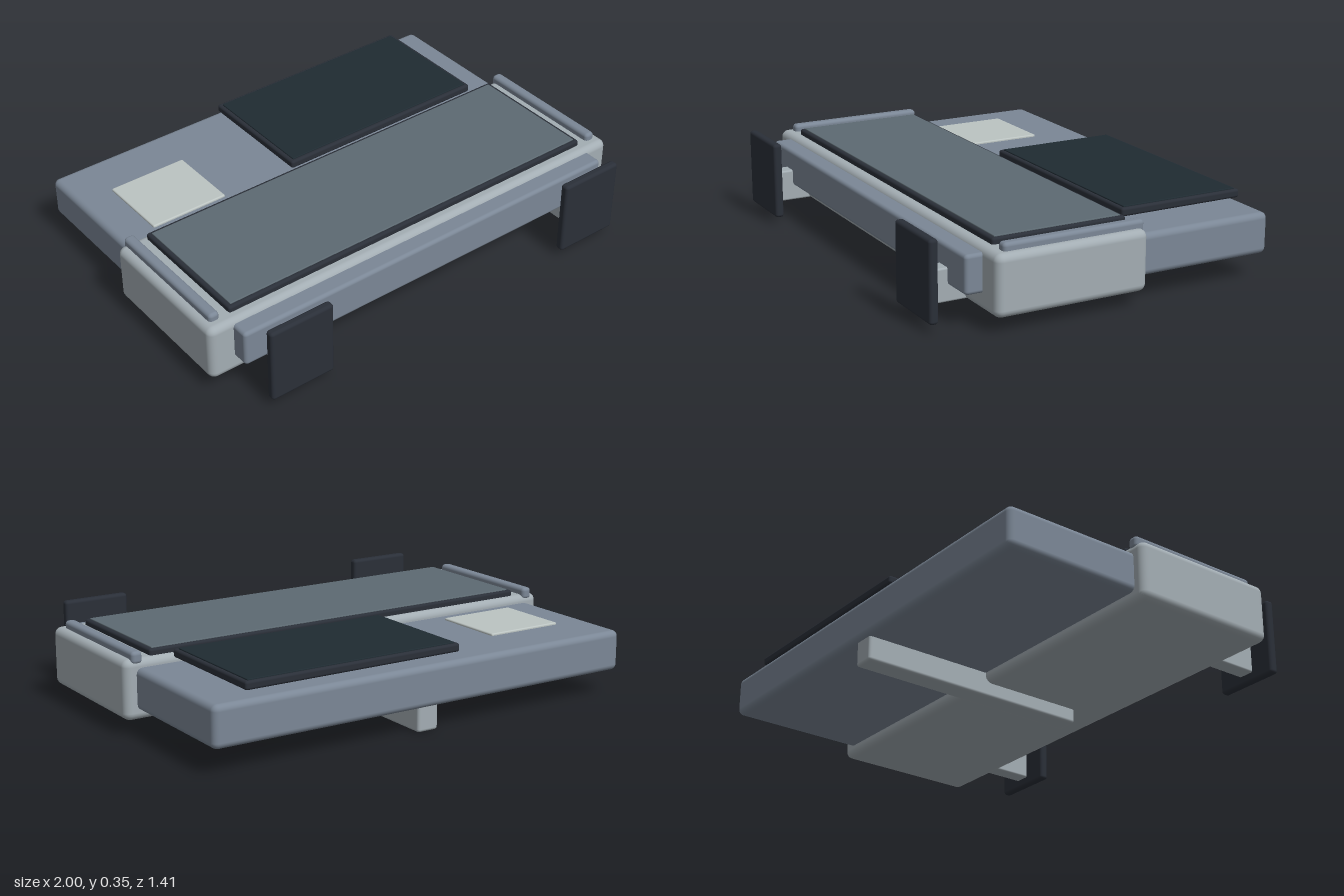
import * as THREE from 'three';
import { RoundedBoxGeometry } from 'three/addons/geometries/RoundedBoxGeometry.js';

const COLORS = {
  hull: 0xa3adb3, deck: 0x7b8796, dark: 0x2a2f38,
  glass: 0x5d6a72, screen: 0x1f2b32, pad: 0xbcc4c2,
};

export function createModel() {
  const model = new THREE.Group();
  model.name = 'model';
  const materials = {};
  for (const key in COLORS) materials[key] = new THREE.MeshStandardMaterial({ color: COLORS[key] });

  // Rounded block given by its extents along each axis
  function block(name, color, [x0, x1], [y0, y1], [z0, z1], radius) {
    const geometry = new RoundedBoxGeometry(x1 - x0, y1 - y0, z1 - z0, 3, radius);
    const mesh = new THREE.Mesh(geometry, materials[color]);
    mesh.name = name;
    mesh.position.set((x0 + x1) / 2, (y0 + y1) / 2, (z0 + z1) / 2);
    model.add(mesh);
  }

  // Framed panel: dark bars around a thin sheet flush with the top
  function panel(name, color, [x0, x1], [z0, z1]) {
    const w = 0.022, y = [0.29, 0.324];
    block(name + 'FrameFront', 'dark', [x0, x1], y, [z1 - w, z1], 0.01);
    block(name + 'FrameBack', 'dark', [x0, x1], y, [z0, z0 + w], 0.01);
    block(name + 'FrameLeft', 'dark', [x1 - w, x1], y, [z0, z1], 0.01);
    block(name + 'FrameRight', 'dark', [x0, x0 + w], y, [z0, z1], 0.01);
    block(name + 'Backing', 'dark', [x0 + 0.01, x1 - 0.01], [0.292, 0.318], [z0 + 0.01, z1 - 0.01], 0.005);
    block(name, color, [x0 + 0.016, x1 - 0.016], [0.312, 0.328], [z0 + 0.016, z1 - 0.016], 0.003);
  }

  // Main slabs
  block('body', 'hull', [-1, 1], [0.06, 0.3], [-0.125, 0.51], 0.03);
  block('rearDeck', 'deck', [-0.95, 0.95], [0.1, 0.266], [-0.705, -0.06], 0.025);
  block('frontBar', 'deck', [-0.895, 0.895], [0.13, 0.282], [0.44, 0.58], 0.015);
  block('keel', 'hull', [-0.047, 0.047], [0, 0.13], [-0.685, 0.34], 0.012);

  // Panels and pad on top
  panel('largePanel', 'glass', [-0.88, 0.88], [-0.1, 0.463]);
  panel('rearPanel', 'screen', [-0.155, 0.8], [-0.675, -0.135]);
  block('pad', 'pad', [-0.8, -0.46], [0.25, 0.275], [-0.49, -0.175], 0.006);

  // Mirrored side rails, brackets and front plates
  for (const [side, s] of [['left', 1], ['right', -1]]) {
    const span = (c, w) => [s * c - w / 2, s * c + w / 2];
    block(side + 'Rail', 'deck', span(0.945, 0.045), [0.28, 0.33], [-0.125, 0.465], 0.015);
    block(side + 'Bracket', 'hull', span(0.725, 0.07), [0.066, 0.198], [0.48, 0.685], 0.008);
    block(side + 'Plate', 'dark', span(0.723, 0.283), [0.03, 0.35], [0.668, 0.705], 0.013);
  }
  return model;
}
